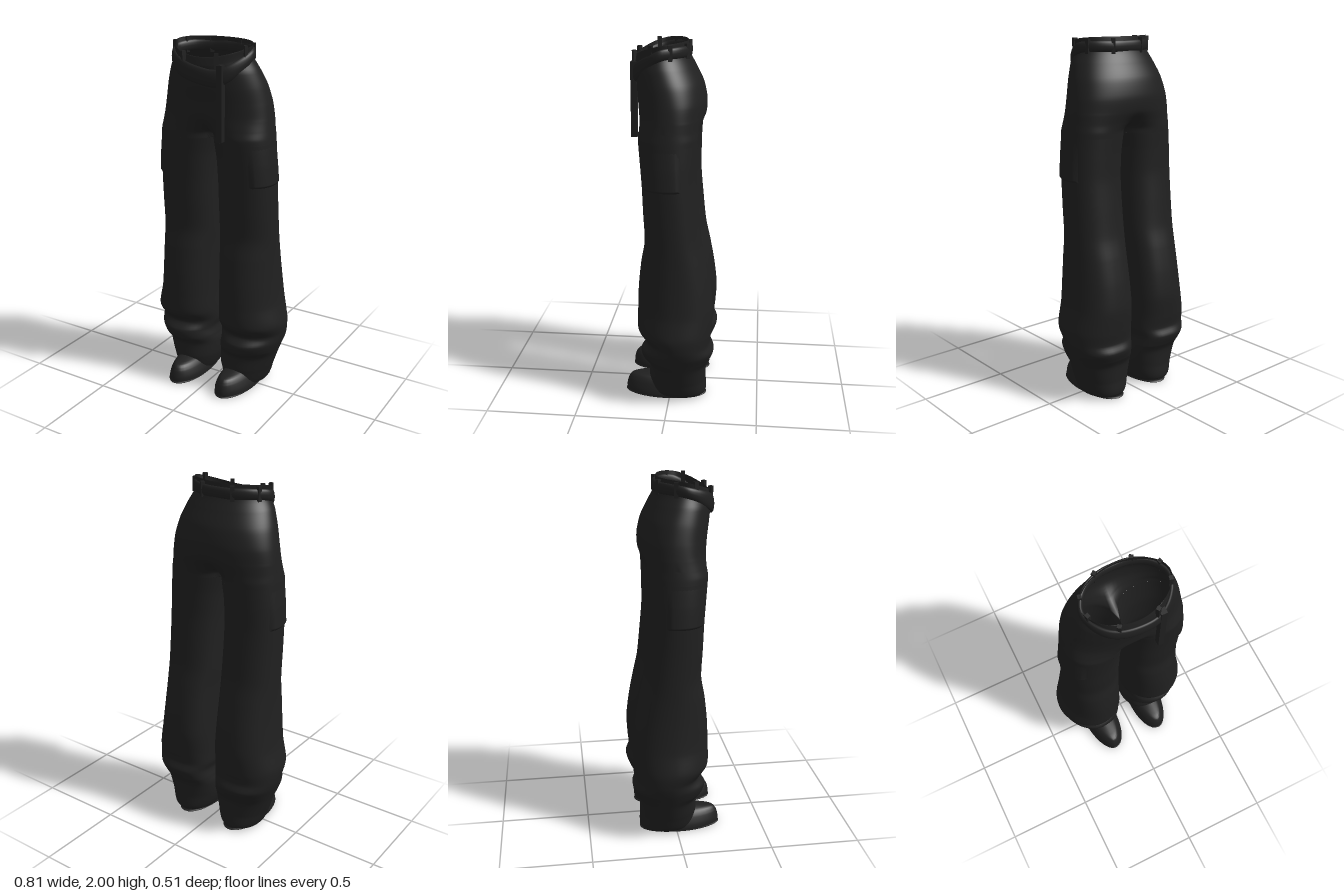
import * as THREE from 'three';
import { ParametricGeometry } from 'three/addons/geometries/ParametricGeometry.js';

const TAU = Math.PI * 2;
const ROUND = 0.92; // roundness of the legs: 1 is an ellipse, less is boxier

// Smoothly interpolates every column of a table of cross-sections, v in 0..1
function sample(rows, v) {
  const t = THREE.MathUtils.clamp(v, 0, 1) * (rows.length - 1);
  const i = Math.min(Math.floor(t), rows.length - 2), f = t - i;
  const at = (n) => rows[THREE.MathUtils.clamp(n, 0, rows.length - 1)];
  return rows[i].map((p1, c) => {
    const p2 = at(i + 1)[c];
    const m1 = (p2 - at(i - 1)[c]) * 0.4, m2 = (at(i + 2)[c] - p1) * 0.4;
    return p1 + m1 * f + (3 * (p2 - p1) - 2 * m1 - m2) * f * f
      + (2 * (p1 - p2) + m1 + m2) * f * f * f;
  });
}

const power = (n, e) => Math.sign(n) * Math.abs(n) ** e;

// Hips, top to bottom: y, half width, back z, front z, split into two legs
const HIPS = [
  [2.0, 0.23, -0.078, 0.2, 0], [1.93, 0.224, -0.09, 0.21, 0],
  [1.86, 0.255, -0.125, 0.21, 0], [1.78, 0.285, -0.163, 0.202, 0],
  [1.69, 0.307, -0.182, 0.19, 0], [1.61, 0.32, -0.178, 0.183, 0.05],
  [1.55, 0.328, -0.16, 0.178, 0.5], [1.51, 0.333, -0.148, 0.174, 0.95],
  [1.48, 0.336, -0.145, 0.172, 1],
];

// Left leg, top to bottom: y, inner x, outer x, back z, front z
const LEG = [
  [1.48, 0, 0.336, -0.145, 0.172], [1.38, 0.015, 0.343, -0.142, 0.163],
  [1.25, 0.021, 0.348, -0.142, 0.153], [1.1, 0.022, 0.349, -0.155, 0.147],
  [0.94, 0.023, 0.351, -0.172, 0.14], [0.82, 0.027, 0.354, -0.198, 0.16],
  [0.68, 0.028, 0.362, -0.224, 0.175], [0.54, 0.026, 0.376, -0.24, 0.18],
  [0.42, 0.022, 0.402, -0.234, 0.178], [0.35, 0.022, 0.398, -0.228, 0.13],
  [0.3, 0.034, 0.387, -0.247, 0.163], [0.25, 0.024, 0.37, -0.23, 0.155],
  [0.2, 0.014, 0.352, -0.206, 0.118], [0.11, 0.02, 0.322, -0.202, 0.12],
  [0.02, 0.055, 0.287, -0.2, 0.1], [0.012, 0.12, 0.22, -0.1, 0],
];

// Left shoe, top to bottom: y, inner x, outer x, back z, front z
const SHOE = [
  [0.12, 0.14, 0.19, -0.05, 0.1], [0.105, 0.1, 0.222, -0.15, 0.215],
  [0.08, 0.078, 0.243, -0.18, 0.243], [0.04, 0.062, 0.26, -0.195, 0.255],
  [0.012, 0.058, 0.266, -0.198, 0.255], [0, 0.066, 0.258, -0.192, 0.246],
  [0, 0.16, 0.162, 0.03, 0.031],
];

// A point on a leg-like loft; side is +1 for left, -1 for right
function loftPoint(rows, side, a, v, target, grow = 0) {
  const [y, x0, x1, z0, z1] = sample(rows, v);
  const w = (x1 - x0) / 2 + grow, d = (z1 - z0) / 2 + grow;
  const c = Math.cos(a), s = Math.sin(a);
  // Lower legs are fuller at the inner back and leaner at the outer front
  const low = 1 - THREE.MathUtils.smoothstep(y, 0.5, 1.2);
  let e = ROUND;
  if (y > 0.12 && c * side < 0 && s < 0) e -= 0.24 * low * Math.min(1, (y - 0.12) * 8);
  if (c * side > 0 && s > 0) e += 0.16 * low;
  return target.set(side * (x0 + x1) / 2 + w * power(c, e), y,
    (z0 + z1) / 2 + d * power(s, e));
}

// A point on the hips: one rounded outline that turns into two leg outlines
function hipPoint(u, v, target) {
  const [y, w, z0, z1, split] = sample(HIPS, v);
  const a = u * TAU, x = w * Math.cos(a), half = w / 2;
  const blend = THREE.MathUtils.clamp(split, 0, 1);
  const wide = power(Math.sin(a), THREE.MathUtils.lerp(1.1, 0.82, Math.min(1, v * 1.6)));
  const across = Math.min(1, Math.abs((Math.hypot(x, 0.04 * (1 - blend)) - half) / half));
  const twin = Math.sign(Math.sin(a)) * (1 - across ** (2 / ROUND)) ** (ROUND / 2);
  const z = (z0 + z1) / 2 + (z1 - z0) / 2 * THREE.MathUtils.lerp(wide, twin, blend);
  // The waist opening is lower at the front
  const dip = Math.max(0, 1 - v * 4) * 0.07 * Math.max(0, (z + 0.078) / 0.28) ** 2.5;
  target.set(x, y - dip, z);
}

export function createModel() {
  const model = new THREE.Group();
  model.name = 'trousersAndShoes';
  const cloth = new THREE.MeshStandardMaterial({ color: 0x202020, side: THREE.DoubleSide });
  cloth.name = 'black cloth';

  const add = (name, geometry) => {
    const mesh = new THREE.Mesh(geometry, cloth);
    mesh.name = name;
    model.add(mesh);
    return mesh;
  };
  const surface = (name, fn, nu, nv) => add(name, new ParametricGeometry(fn, nu, nv));

  surface('hips', hipPoint, 96, 40);

  for (const side of [1, -1]) {
    const prefix = side > 0 ? 'left' : 'right';
    surface(prefix + 'Leg', (u, v, t) => loftPoint(LEG, side, u * TAU, v, t), 48, 75);
    surface(prefix + 'Shoe', (u, v, t) => loftPoint(SHOE, side, u * TAU, v, t), 32, 24);

    // Cargo pocket on the outer thigh, flaring out towards its lower edge
    const middle = side > 0 ? 0.3 : Math.PI - 0.3;
    surface(prefix + 'Pocket', (u, v, t) => {
      const edge = Math.min(1, u * 8, (1 - u) * 8, (1 - v) * 14);
      const lift = 0.011 * edge * v - 0.001;
      loftPoint(LEG, side, middle + (u - 0.5) * 1.6, 0.01 + v * 0.125, t, lift);
    }, 28, 28);
  }

  // Wide sash belt: level at the back, sagging across the front
  const path = new THREE.CatmullRomCurve3([
    [0.225, 1.94, 0.05], [0.213, 1.905, 0.11], [0.165, 1.86, 0.17], [0.1, 1.83, 0.203],
    [0, 1.84, 0.214], [-0.1, 1.865, 0.203], [-0.165, 1.89, 0.17], [-0.213, 1.92, 0.11],
    [-0.225, 1.94, 0.05], [-0.175, 1.95, -0.03], [-0.09, 1.95, -0.077], [0, 1.95, -0.086],
    [0.09, 1.95, -0.077], [0.175, 1.95, -0.03],
  ].map((p) => new THREE.Vector3(...p)), true);
  const out = new THREE.Vector3();
  surface('belt', (u, v, t) => {
    path.getPoint(u % 1, t);
    out.set(t.x, 0, t.z - 0.05).normalize();
    const b = -v * TAU, front = THREE.MathUtils.smoothstep(t.z, 0.05, 0.2);
    t.addScaledVector(out, 0.014 * Math.cos(b));
    t.y += (0.03 + 0.016 * front) * Math.sin(b);
  }, 80, 14);

  // Belt loops around the waistband
  const loops = [[0.1, 0.197], [-0.1, 0.197], [0.212, 0.1], [-0.212, 0.1],
    [0.205, 0], [-0.205, 0], [0.095, -0.078], [-0.095, -0.078]];
  for (const [x, z] of loops) {
    const loop = add('beltLoop', new THREE.BoxGeometry(0.022, 0.08, 0.02));
    loop.position.set(x, z > 0.15 ? 1.915 : 1.952, z);
    loop.rotation.y = Math.atan2(x, z - 0.05);
  }

  // Loose belt end hanging at the front
  const strap = add('hangingStrap', new THREE.BoxGeometry(0.032, 0.4, 0.034));
  strap.position.set(0.125, 1.7, 0.198);

  return model;
}
